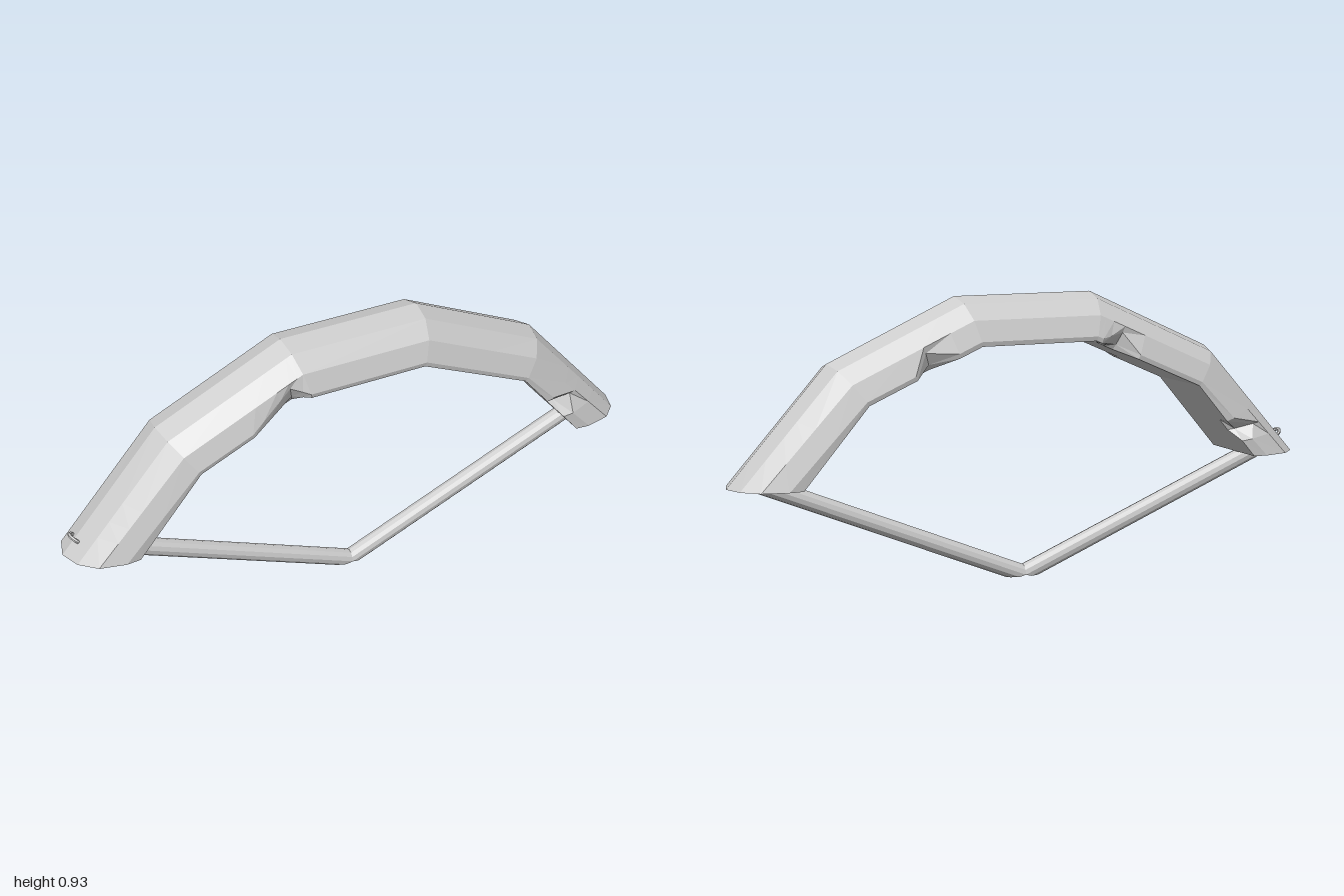
import * as THREE from 'three';

const material = new THREE.MeshStandardMaterial({ color: 0xcccccc, flatShading: true });

// Skin closed rings of points into a capped, faceted solid
function skin(rings) {
  const pos = [];
  const tri = (a, b, c) => pos.push(...a, ...b, ...c);
  const n = rings[0].length;
  for (let i = 0; i < rings.length - 1; i++) {
    for (let j = 0; j < n; j++) {
      const k = (j + 1) % n;
      const a = rings[i][j], b = rings[i][k], c = rings[i + 1][j], d = rings[i + 1][k];
      tri(a, b, c);
      tri(b, d, c);
    }
  }
  const first = rings[0], last = rings[rings.length - 1];
  for (let j = 1; j < n - 1; j++) {
    tri(first[0], first[j + 1], first[j]);
    tri(last[0], last[j], last[j + 1]);
  }
  const geo = new THREE.BufferGeometry();
  geo.setAttribute('position', new THREE.Float32BufferAttribute(pos, 3));
  geo.computeVertexNormals();
  return geo;
}

// Arch stations: outer x, y and inner x, y, running from right to left
const half = [[1, 0.36, 0.795, 0.36], [0.67, 0.73, 0.58, 0.61], [0.24, 0.925, 0.2, 0.775]];
const stations = [
  ...half.map(([ox, oy, ix, iy]) => [-ox, oy, -ix, iy]),
  ...half.slice().reverse(),
];

// D-shaped section: z and depth from outer to inner surface (mid arch, foot)
const section = [
  [0, 0, 0], [0.07, 0.13, 0.11], [0.12, 0.46, 0.36],
  [0.14, 0.9, 0.77], [0.136, 1, 1], [0.085, 1, 1],
];

// Chips in the inner edges: start, deepest, end along the arch, and side
const chips = [
  [1.48, 1.88, 2, 1], [4.42, 4.55, 4.74, 1],
  [0.22, 0.35, 0.5, -1], [1.6, 1.78, 1.95, -1], [3.2, 3.42, 3.58, -1],
];

function chipDepth(u, side) {
  let w = 0;
  for (const [a, m, b, s] of chips) {
    if (s !== side || u <= a || u >= b) continue;
    w = Math.max(w, u < m ? (u - a) / (m - a) : (b - u) / (b - m));
  }
  return w;
}

function archRing(u) {
  const i = Math.min(Math.floor(u), 4), f = u - i;
  const s = stations[i].map((v, k) => v + (stations[i + 1][k] - v) * f);
  const foot = Math.max(0, 1 - u, u - 4);
  const point = (idx, side) => {
    let [z, tMid, tFoot] = section[idx];
    let t = tMid + (tFoot - tMid) * foot;
    const w = chipDepth(u, side);
    if (idx === 3) { z -= 0.025 * w; t -= 0.3 * w; }
    if (idx === 4) { z -= 0.04 * w; t -= 0.12 * w; }
    return [s[0] + (s[2] - s[0]) * t, s[1] + (s[3] - s[1]) * t, z * side];
  };
  return [
    ...[0, 1, 2, 3, 4, 5].map((k) => point(k, 1)),
    ...[5, 4, 3, 2, 1].map((k) => point(k, -1)),
  ];
}

// Straight lower bar, cut level at the foot and mitred at the centre
function barGeometry() {
  const slope = 0.405, top = [], bottom = [];
  for (let j = 0; j < 12; j++) {
    const a = (j / 12) * Math.PI * 2;
    const x = 0.873 + 0.077 * Math.cos(a), z = 0.028 * Math.sin(a);
    top.push([x, 0.36, z]);
    const xb = x - 0.36 / slope;
    bottom.push(xb < 0 ? [0, -xb * slope, z] : [xb, 0, z]);
  }
  return skin([top, bottom]);
}

export function createModel() {
  const group = new THREE.Group();
  const add = (name, geo) => {
    const mesh = new THREE.Mesh(geo, material);
    mesh.name = name;
    group.add(mesh);
    return mesh;
  };

  // Chipped arch
  const us = [...new Set([0, 1, 2, 3, 4, 5, ...chips.flatMap((c) => c.slice(0, 3))])];
  us.sort((a, b) => a - b);
  add('arch', skin(us.map(archRing)));

  // Pair of lower bars meeting in a V
  add('leftBar', barGeometry());
  add('rightBar', barGeometry()).rotation.y = Math.PI;

  // Small loop standing on the right foot of the arch
  const loop = add('footLoop', new THREE.TorusGeometry(0.023, 0.006, 6, 10, Math.PI));
  const across = new THREE.Vector3(0, 0, 1);
  const out = new THREE.Vector3(-0.746, 0.666, 0).normalize();
  const along = new THREE.Vector3().crossVectors(across, out);
  loop.quaternion.setFromRotationMatrix(new THREE.Matrix4().makeBasis(across, out, along));
  loop.position.set(-0.953, 0.408, 0);

  return group;
}
